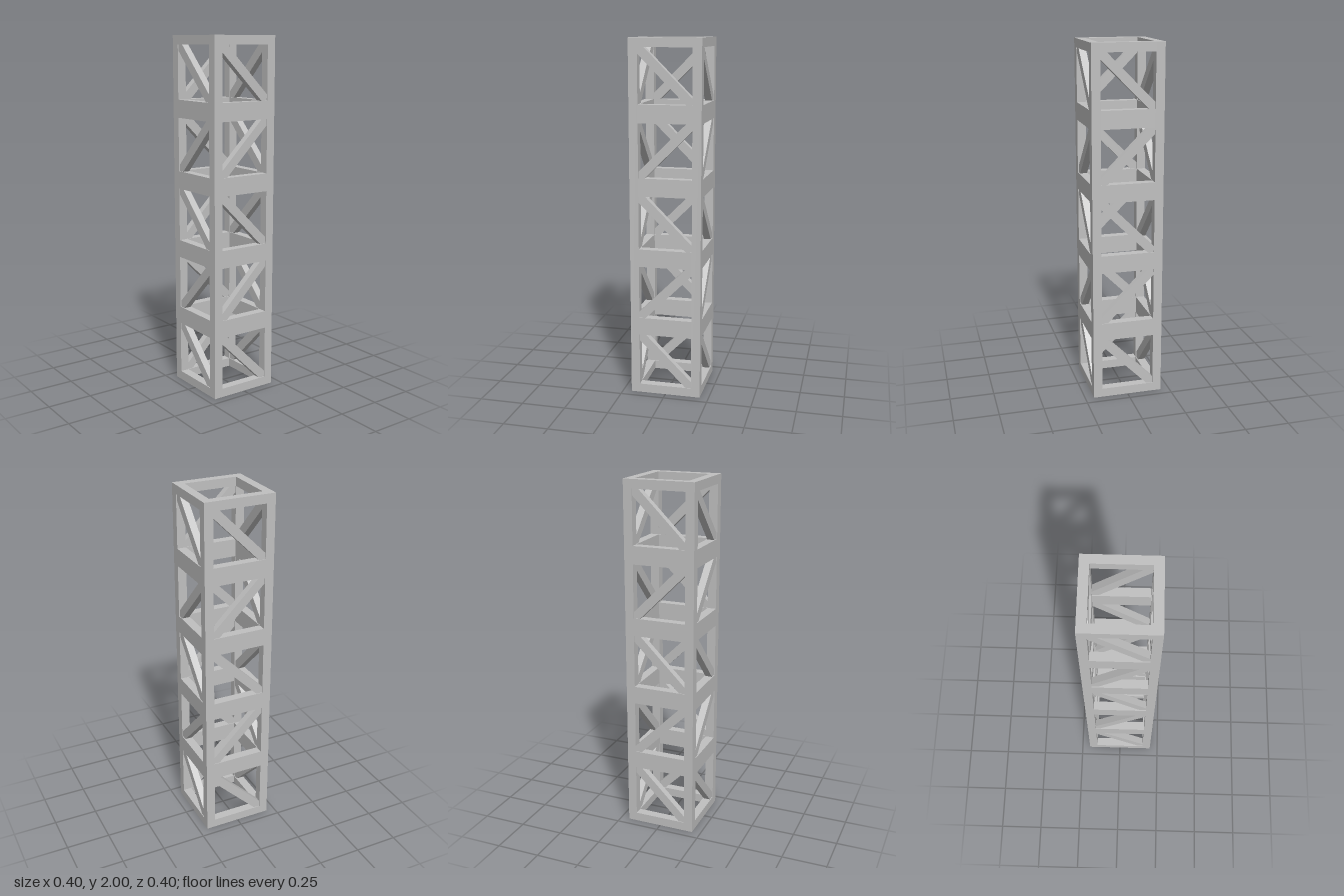
import * as THREE from 'three';

const CELLS = 5, CELL = 0.4, BAR = 0.05;
const OPEN = CELL / 2 - BAR;      // half width of each window
const MID = CELL / 2 - BAR / 2;   // centre line of the bars
const CUT = BAR / Math.SQRT2;     // where a brace edge meets the window edge

// Diagonal brace trimmed to the window corners, falling from left to right
function braceGeometry() {
  const a = OPEN, c = OPEN - CUT;
  const corners = [[-a, a], [-a, c], [c, -a], [a, -a], [a, -c], [-c, a]];
  const shape = new THREE.Shape(corners.map(([x, y]) => new THREE.Vector2(x, y)));
  const depth = 0.04;
  return new THREE.ExtrudeGeometry(shape, { depth, bevelEnabled: false })
    .translate(0, 0, MID - depth / 2);
}

export function createModel() {
  const steel = new THREE.MeshStandardMaterial({ color: 0xc0c0c0 });
  steel.name = 'grey steel';
  const model = new THREE.Group();
  model.name = 'trussTower';

  const height = CELLS * CELL;
  const postGeo = new THREE.BoxGeometry(BAR, height, BAR);
  const endBeamGeo = new THREE.BoxGeometry(OPEN * 2, BAR, BAR);
  const midBeamGeo = new THREE.BoxGeometry(OPEN * 2, BAR * 2, BAR);
  const fallingBrace = braceGeometry();
  const risingBrace = braceGeometry().rotateZ(Math.PI / 2);

  // The same side is repeated four times around the vertical axis
  for (const name of ['front', 'left', 'back', 'right']) {
    const side = new THREE.Group();
    side.name = name + 'Side';
    side.rotation.y = model.children.length * Math.PI / 2;
    const add = (part, geometry, x, y, z) => {
      const mesh = new THREE.Mesh(geometry, steel);
      mesh.name = part;
      mesh.position.set(x, y, z);
      side.add(mesh);
    };

    add('cornerPost', postGeo, MID, height / 2, MID);

    // Thin beams at both ends, double beams where two cells meet
    add('bottomBeam', endBeamGeo, 0, BAR / 2, MID);
    add('topBeam', endBeamGeo, 0, height - BAR / 2, MID);
    for (let i = 1; i < CELLS; i++) add('cellBeam', midBeamGeo, 0, i * CELL, MID);

    // Braces alternate direction from cell to cell
    for (let i = 0; i < CELLS; i++) {
      add('diagonalBrace', i % 2 ? risingBrace : fallingBrace, 0, (i + 0.5) * CELL, 0);
    }
    model.add(side);
  }
  return model;
}
